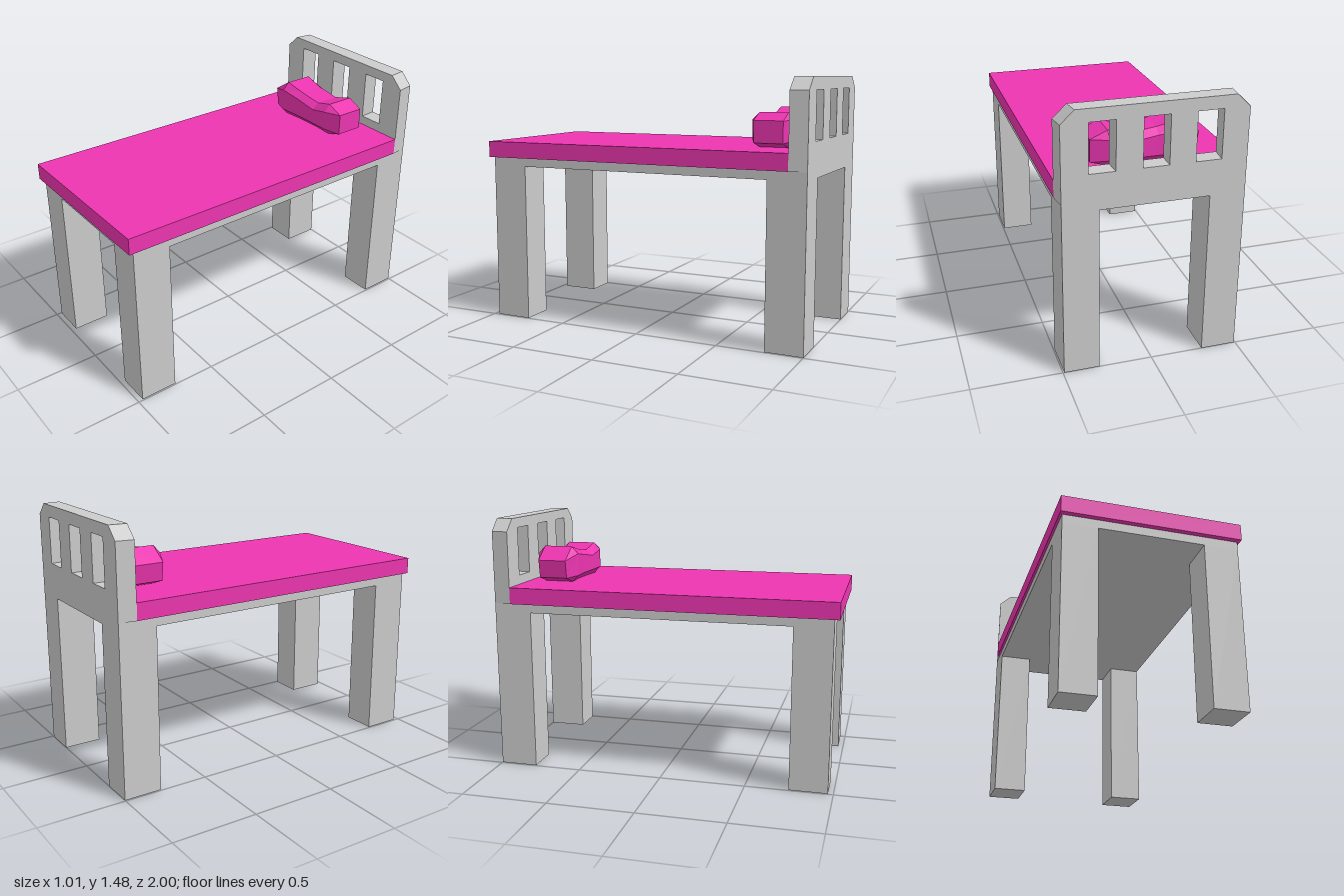
import * as THREE from 'three';

const grey = new THREE.MeshStandardMaterial({ color: 0xcccccc, flatShading: true });
const pink = new THREE.MeshStandardMaterial({ color: 0xec35b0, flatShading: true });

// Box given by its extents on each axis
function box(name, material, [x0, x1], [y0, y1], [z0, z1]) {
  const mesh = new THREE.Mesh(new THREE.BoxGeometry(x1 - x0, y1 - y0, z1 - z0), material);
  mesh.position.set((x0 + x1) / 2, (y0 + y1) / 2, (z0 + z1) / 2);
  mesh.name = name;
  return mesh;
}

// Chamfered board with three windows, narrowing slightly towards the back
function headboard() {
  const shape = new THREE.Shape([
    [-0.507, 0.99], [0.507, 0.99], [0.507, 1.41], [0.432, 1.48], [-0.432, 1.48], [-0.507, 1.41],
  ].map(([x, y]) => new THREE.Vector2(x, y)));
  for (const x of [-0.29, 0, 0.29]) {
    shape.holes.push(new THREE.Path([
      [x - 0.072, 1.14], [x - 0.072, 1.422], [x + 0.072, 1.422], [x + 0.072, 1.14],
    ].map(([px, py]) => new THREE.Vector2(px, py))));
  }
  const geometry = new THREE.ExtrudeGeometry(shape, { depth: 0.1, bevelEnabled: false });
  geometry.translate(0, 0, -1);
  const p = geometry.attributes.position;
  for (let i = 0; i < p.count; i++) {
    if (p.getZ(i) > -0.95) continue;
    p.setX(i, p.getX(i) * 0.972);
    if (Math.abs(p.getY(i) - 1.422) < 0.001) p.setY(i, 1.41);
  }
  geometry.computeVertexNormals();
  const mesh = new THREE.Mesh(geometry, grey);
  mesh.name = 'headboard';
  return mesh;
}

// Faceted pillow lofted through eight-sided sections along x
function pillow() {
  const zMid = -0.715;
  // x at top, x at bottom, heights (bottom, low, high, top), half depths (outer, inner)
  const sections = [
    [-0.305, -0.29, 1.12, 1.12, 1.225, 1.225, 0.085, 0.085],
    [-0.195, -0.195, 1.087, 1.125, 1.257, 1.3, 0.125, 0.085],
    [-0.07, -0.07, 1.087, 1.125, 1.237, 1.27, 0.116, 0.075],
    [0.08, 0.08, 1.087, 1.125, 1.215, 1.25, 0.118, 0.075],
    [0.195, 0.195, 1.087, 1.128, 1.24, 1.282, 0.125, 0.085],
    [0.29, 0.29, 1.115, 1.115, 1.24, 1.24, 0.085, 0.085],
  ];
  const rings = sections.map(([xt, xb, yb, yl, yh, yt, zo, zi]) => [
    [xb, yl, zo], [xt, yh, zo], [xt, yt, zi], [xt, yt, -zi],
    [xt, yh, -zo], [xb, yl, -zo], [xb, yb, -zi], [xb, yb, zi],
  ].map(([x, y, z]) => new THREE.Vector3(x, y, z + zMid)));

  const points = [];
  const tri = (a, b, c) => {
    if (new THREE.Triangle(a, b, c).getArea() > 1e-7) points.push(a, b, c);
  };
  const quad = (a, b, c, d) => { tri(a, b, c); tri(a, c, d); };
  for (let i = 0; i < rings.length - 1; i++) {
    for (let j = 0; j < 8; j++) {
      const k = (j + 1) % 8;
      quad(rings[i][j], rings[i + 1][j], rings[i + 1][k], rings[i][k]);
    }
  }
  const first = rings[0], last = rings[rings.length - 1];
  quad(first[0], first[1], first[4], first[5]);
  quad(last[5], last[4], last[1], last[0]);

  const geometry = new THREE.BufferGeometry().setFromPoints(points);
  geometry.computeVertexNormals();
  const mesh = new THREE.Mesh(geometry, pink);
  mesh.name = 'pillow';
  return mesh;
}

export function createModel() {
  const bed = new THREE.Group();
  bed.name = 'bed';

  // Frame slab and four legs
  bed.add(box('frame', grey, [-0.493, 0.493], [0.94, 0.99], [-1, 0.97]));
  for (const [side, x] of [['Left', [0.297, 0.493]], ['Right', [-0.493, -0.297]]]) {
    bed.add(box('front' + side + 'Leg', grey, x, [0, 0.94], [0.75, 0.97]));
    bed.add(box('back' + side + 'Leg', grey, x, [0, 0.94], [-1, -0.78]));
  }

  // Bedding and headboard
  bed.add(box('mattress', pink, [-0.507, 0.507], [0.99, 1.086], [-0.9, 1]));
  bed.add(headboard(), pillow());
  return bed;
}
